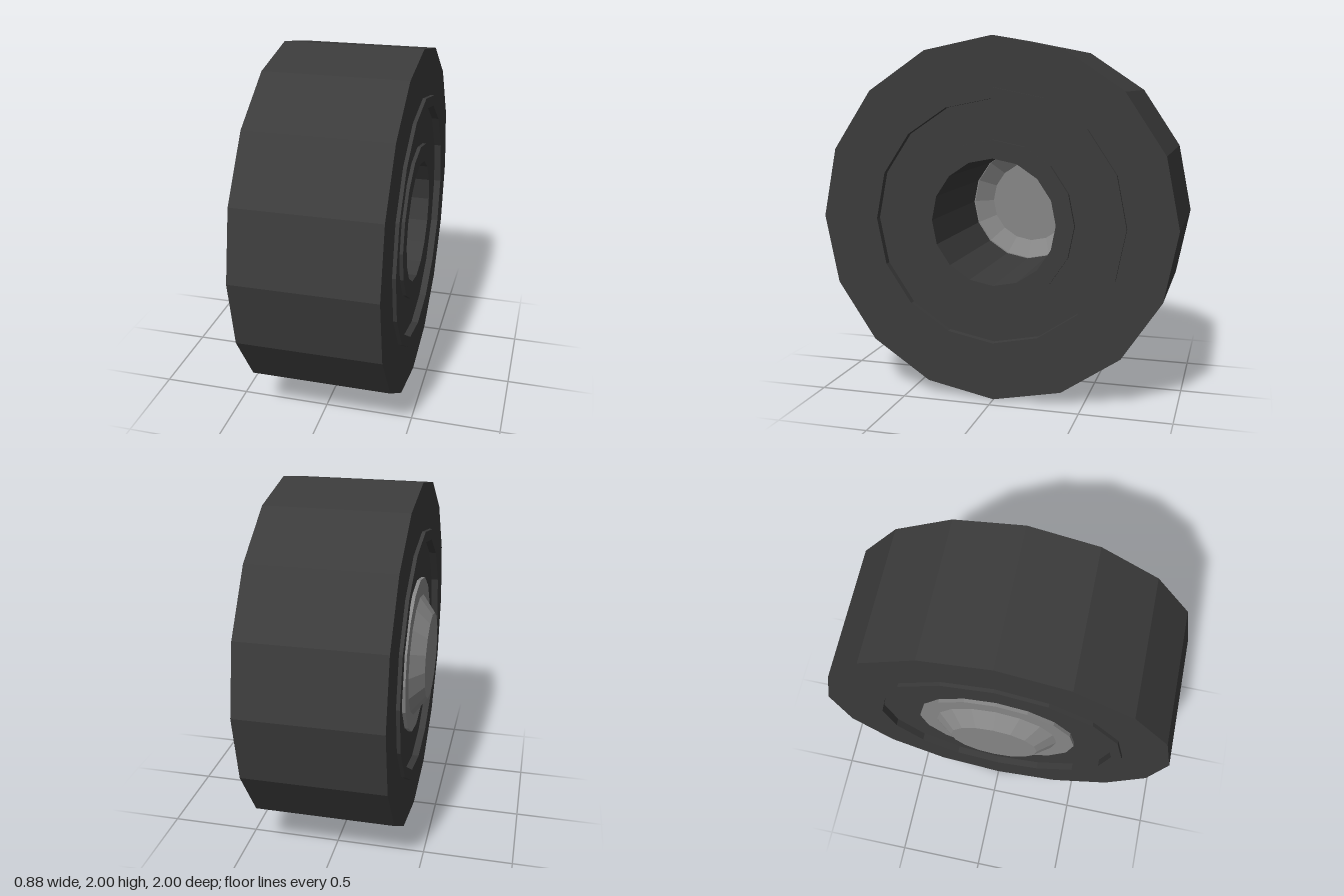
import * as THREE from 'three';

const SIDES = 16;

// Flat-faceted solid of revolution around the x axis; points are [radius, x]
function turned(name, points, color, side = THREE.FrontSide) {
  const geometry = new THREE.LatheGeometry(points.map(([r, x]) => new THREE.Vector2(r, x)), SIDES);
  geometry.rotateZ(-Math.PI / 2);
  const material = new THREE.MeshStandardMaterial({ color, flatShading: true, side });
  const mesh = new THREE.Mesh(geometry, material);
  mesh.name = name;
  return mesh;
}

export function createModel() {
  const model = new THREE.Group();
  model.name = 'wheel';

  // Side face from the tread inward: raised bead ring, then sunken sidewall
  const face = [[1, 0.39], [0.73, 0.39], [0.73, 0.41], [0.67, 0.41], [0.67, 0.37], [0.45, 0.37]];
  const mirrored = face.map(([r, x]) => [r, -x]).reverse();

  // Tire with a collar around the axle hole on its left side
  const tire = turned('tire', [
    [0.35, -0.37], ...mirrored, ...face,
    [0.45, 0.39], [0.35, 0.39], [0.35, -0.37],
  ], 0x3b3b3b);

  // Hollow hub cap with a flange, closing the hole on the right side
  const hubCap = turned('hubCap', [
    [0, -0.465], [0.25, -0.465], [0.35, -0.39], [0.45, -0.39], [0.45, -0.37],
  ], 0x868686, THREE.DoubleSide);

  model.add(tire, hubCap);
  for (const part of model.children) part.position.set(0.025, 1, 0);
  return model;
}
